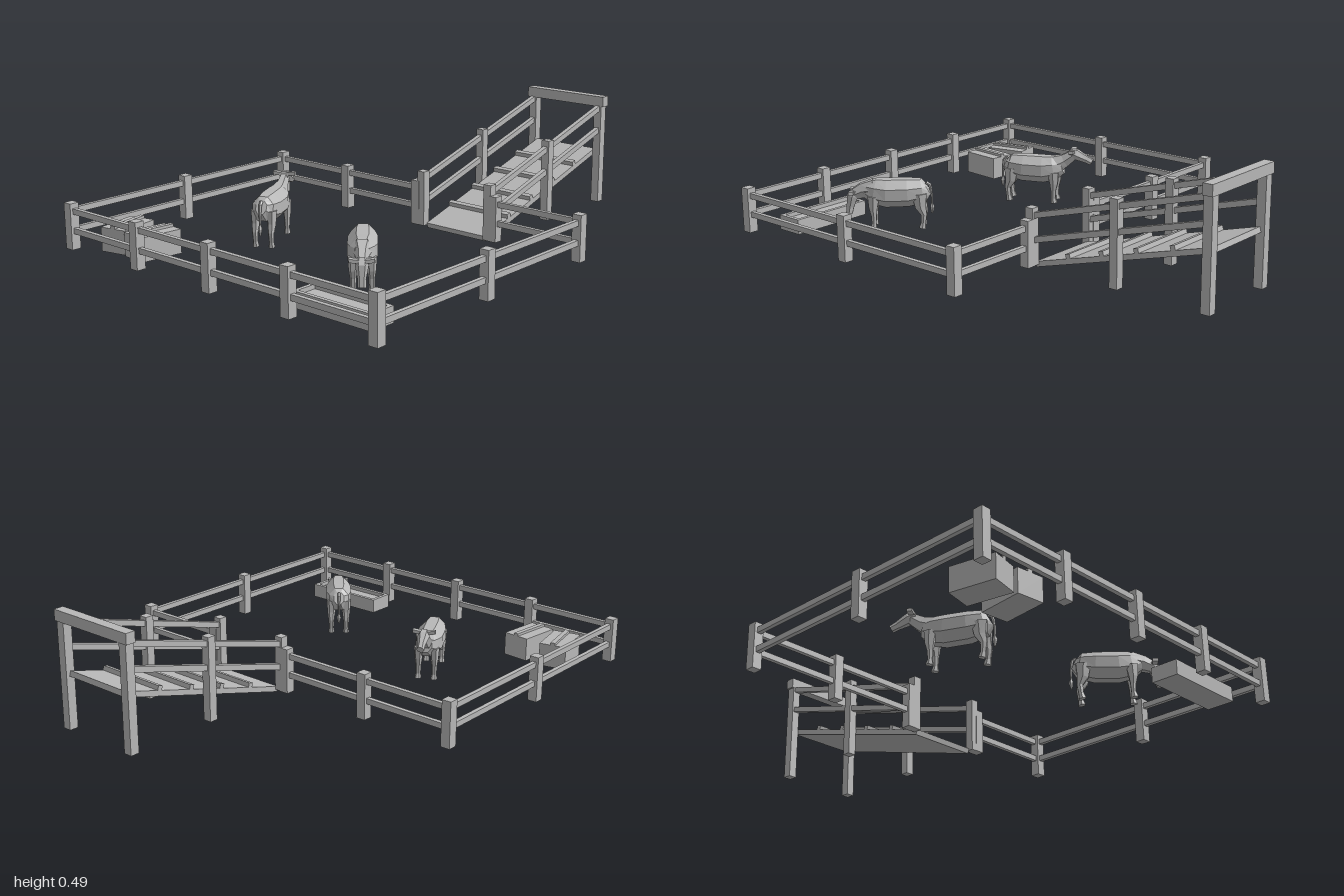
import * as THREE from 'three';

const grey = new THREE.MeshStandardMaterial({ color: 0xb8b8b8 });
grey.name = 'plain grey';

const BASE = 0.013;

function add(parent, name, geometry, x = 0, y = 0, z = 0) {
  const mesh = new THREE.Mesh(geometry, grey);
  mesh.name = name;
  mesh.position.set(x, y, z);
  parent.add(mesh);
  return mesh;
}

const box = (parent, name, w, h, d, x, y, z) =>
  add(parent, name, new THREE.BoxGeometry(w, h, d), x, y, z);

// Faceted skin over rings [x, y, half height, half width] strung along a path in the xy plane
function loft(rings, sides = 8) {
  const pos = [], index = [], n = rings.length, k = 1 / Math.cos(Math.PI / sides);
  rings.forEach(([x, y, ry, rz], i) => {
    const a = rings[Math.max(i - 1, 0)], b = rings[Math.min(i + 1, n - 1)];
    const t = new THREE.Vector2(b[0] - a[0], b[1] - a[1]).normalize();
    for (let s = 0; s < sides; s++) {
      const ang = ((s + 0.5) / sides) * Math.PI * 2;
      const u = Math.cos(ang) * ry * k;
      pos.push(x - t.y * u, y + t.x * u, Math.sin(ang) * rz * k);
    }
  });
  for (let i = 0; i < n - 1; i++) {
    for (let s = 0; s < sides; s++) {
      const p = i * sides + s, q = i * sides + (s + 1) % sides;
      index.push(p, q, q + sides, p, q + sides, p + sides);
    }
  }
  // end caps
  const last = (n - 1) * sides;
  for (let s = 1; s < sides - 1; s++) {
    index.push(0, s + 1, s, last, last + s, last + s + 1);
  }
  const g = new THREE.BufferGeometry();
  g.setAttribute('position', new THREE.Float32BufferAttribute(pos, 3));
  g.setIndex(index);
  const flat = g.toNonIndexed();
  flat.computeVertexNormals();
  return flat;
}

function makeCow(name, grazing) {
  const cow = new THREE.Group();
  cow.name = name;
  add(cow, 'body', loft([
    [-0.14, 0.178, 0.028, 0.022], [-0.122, 0.168, 0.048, 0.043], [-0.06, 0.16, 0.057, 0.055],
    [0.03, 0.158, 0.058, 0.055], [0.08, 0.165, 0.052, 0.044], [0.115, 0.175, 0.034, 0.026],
  ]));
  // neck and head, raised or lowered
  add(cow, 'neck', loft(grazing
    ? [[0.08, 0.175, 0.04, 0.034], [0.13, 0.168, 0.03, 0.022], [0.168, 0.15, 0.022, 0.017]]
    : [[0.08, 0.178, 0.04, 0.034], [0.125, 0.2, 0.028, 0.021], [0.165, 0.228, 0.021, 0.017]], 6));
  add(cow, 'head', loft(grazing
    ? [[0.158, 0.168, 0.018, 0.017], [0.17, 0.145, 0.022, 0.021], [0.181, 0.098, 0.015, 0.013], [0.186, 0.07, 0.013, 0.014]]
    : [[0.147, 0.238, 0.016, 0.017], [0.175, 0.23, 0.022, 0.021], [0.222, 0.209, 0.015, 0.013], [0.246, 0.198, 0.013, 0.014]], 6));
  for (const side of [-1, 1]) {
    const ear = box(cow, 'ear', 0.022, 0.013, 0.036, grazing ? 0.172 : 0.16, grazing ? 0.163 : 0.244, side * 0.028);
    ear.rotation.x = -side * 0.12;
    // legs, from thigh to hoof
    add(cow, 'frontLeg', loft([
      [0.08, 0.15, 0.024, 0.017], [0.083, 0.1, 0.017, 0.014], [0.081, 0.07, 0.011, 0.01],
      [0.081, 0.034, 0.009, 0.009], [0.084, BASE, 0.014, 0.012],
    ], 6), 0, 0, side * 0.033);
    add(cow, 'hindLeg', loft([
      [-0.108, 0.16, 0.03, 0.018], [-0.112, 0.105, 0.022, 0.015], [-0.125, 0.072, 0.012, 0.011],
      [-0.121, 0.034, 0.01, 0.009], [-0.117, BASE, 0.014, 0.012],
    ], 6), 0, 0, side * 0.033);
  }
  add(cow, 'tail', loft([
    [-0.134, 0.2, 0.006, 0.006], [-0.149, 0.19, 0.006, 0.006], [-0.156, 0.15, 0.004, 0.004],
    [-0.156, 0.11, 0.004, 0.004], [-0.157, 0.095, 0.008, 0.008], [-0.156, 0.068, 0.003, 0.003],
  ], 5));
  return cow;
}

function makeFence() {
  const fence = new THREE.Group();
  fence.name = 'fence';
  const L = -0.98, M = -0.4, R = 0.18, Z = 0.795;
  const post = (x, z) => box(fence, 'fencePost', 0.04, 0.2 - BASE, 0.04, x, (0.2 + BASE) / 2, z);
  for (const z of [-Z, -Z / 2, 0, Z / 2, Z]) {
    post(L, z);
    post(R, z);
  }
  post(M, -Z);
  post(M, Z);
  // two rails per side, with an opening at the ramp
  for (const y of [0.089, 0.168]) {
    for (const z of [-Z, Z]) box(fence, 'fenceRail', R - L, 0.023, 0.018, (L + R) / 2, y, z);
    box(fence, 'fenceRail', 0.018, 0.023, 2 * Z, L, y, 0);
    box(fence, 'fenceRail', 0.018, 0.023, Z, R, y, -Z / 2);
    box(fence, 'fenceRail', 0.018, 0.023, Z / 2, R, y, Z * 0.75);
  }
  return fence;
}

function makeRamp() {
  const ramp = new THREE.Group();
  ramp.name = 'loadingRamp';
  const slope = Math.atan(0.286), zMid = 0.2;
  const deckY = (x) => 0.012 + (x - 0.19) * 0.286;
  const sloped = (name, x0, x1, rise, h, d, z) => {
    const x = (x0 + x1) / 2;
    box(ramp, name, (x1 - x0) / Math.cos(slope), h, d, x, deckY(x) + rise, z).rotation.z = slope;
  };
  sloped('rampDeck', 0.185, 0.98, 0, 0.022, 0.306, zMid);
  for (const x of [0.34, 0.497, 0.655, 0.813]) sloped('rampCleat', x - 0.01, x + 0.01, 0.02, 0.02, 0.306, zMid);
  // side posts and rails
  for (const side of [-1, 1]) {
    const z = zMid + side * 0.171;
    for (const [x, top, w] of [[0.18, 0.243, 0.036], [0.58, 0.355, 0.036], [0.978, 0.445, 0.038]]) {
      box(ramp, 'rampPost', w, top - BASE, 0.036, x, (top + BASE) / 2, z);
    }
    for (const rise of [0.103, 0.2]) sloped('rampRail', 0.19, 0.97, rise, 0.023, 0.02, z);
  }
  box(ramp, 'crossbeam', 0.042, 0.044, 0.395, 0.979, 0.463, 0.2);
  return ramp;
}

function makeTrough() {
  const trough = new THREE.Group();
  trough.name = 'trough';
  const w = 0.115, d = 0.365, t = 0.016, h = 0.075 - BASE, y = BASE + h / 2;
  for (const s of [-1, 1]) {
    box(trough, 'troughSide', t, h, d, s * (w - t) / 2, y, 0);
    box(trough, 'troughEnd', w - 2 * t, h, t, 0, y, s * (d - t) / 2);
  }
  box(trough, 'troughFill', w - 2 * t, 0.045, d - 2 * t, 0, BASE + 0.0225, 0);
  trough.position.set(-0.847, 0, 0.52);
  return trough;
}

function makeBale(x, z, turn) {
  const bale = new THREE.Group();
  bale.name = 'bale';
  box(bale, 'baleBlock', 0.182, 0.111 - BASE, 0.115, 0, (0.111 + BASE) / 2, 0);
  box(bale, 'baleStrap', 0.182, 0.012, 0.02, 0, 0.116, 0);
  bale.position.set(x, 0, z);
  bale.rotation.y = turn;
  return bale;
}

export function createModel() {
  const model = new THREE.Group();
  model.name = 'cattlePen';
  const standing = makeCow('standingCow', false);
  standing.position.set(-0.37, 0, -0.3);
  standing.rotation.y = 0.476;
  const grazing = makeCow('grazingCow', true);
  grazing.position.set(-0.575, 0, 0.37);
  grazing.rotation.y = Math.PI + 0.715;
  model.add(makeFence(), makeRamp(), makeTrough(), standing, grazing,
    makeBale(-0.83, -0.642, 0.21), makeBale(-0.83, -0.49, -0.1));
  return model;
}
